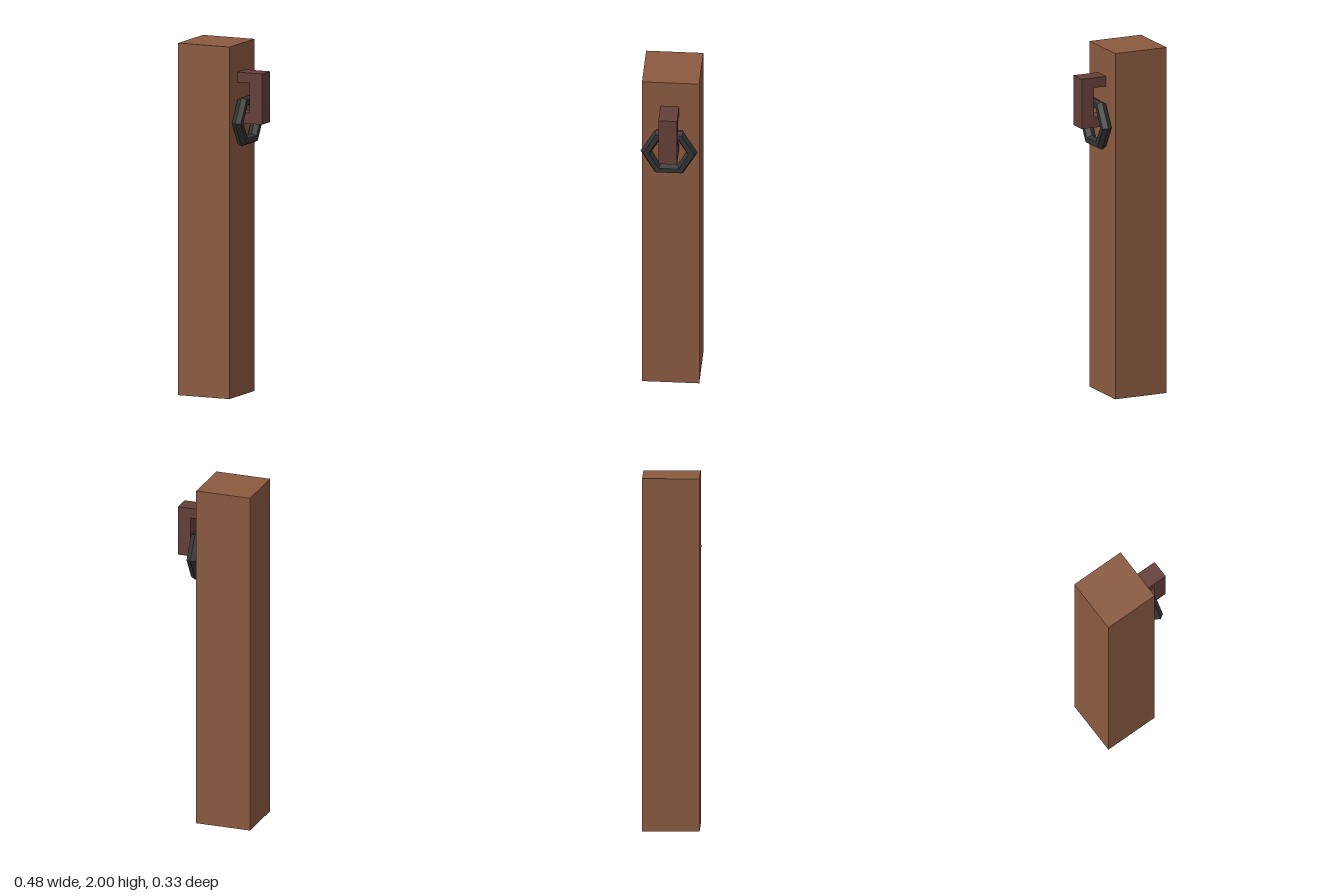
import * as THREE from 'three';

const postWood = new THREE.MeshStandardMaterial({ color: 0x8b5a40 });
postWood.name = 'post wood';
const darkWood = new THREE.MeshStandardMaterial({ color: 0x653f39 });
darkWood.name = 'bracket wood';
const iron = new THREE.MeshStandardMaterial({ color: 0x333333, flatShading: true });
iron.name = 'dark iron';

function addMesh(group, name, geometry, material, x, y, z) {
  const mesh = new THREE.Mesh(geometry, material);
  mesh.name = name;
  mesh.position.set(x, y, z);
  group.add(mesh);
  return mesh;
}

export function createModel() {
  const model = new THREE.Group();
  model.name = 'hitchingPost';

  // Tall square post
  addMesh(model, 'post', new THREE.BoxGeometry(0.322, 2, 0.322), postWood, -0.077, 1, -0.004);

  // C-shaped bracket on the post's left side, its open side against the post
  const outline = [
    [0.084, 1.555], [0.237, 1.555], [0.237, 1.843], [0.084, 1.843],
    [0.084, 1.785], [0.16, 1.785], [0.16, 1.615], [0.084, 1.615],
  ].map(([x, y]) => new THREE.Vector2(x, y));
  const bracket = new THREE.ExtrudeGeometry(new THREE.Shape(outline), { depth: 0.105, bevelEnabled: false });
  addMesh(model, 'bracket', bracket, darkWood, 0, 0, -0.051);

  // Six-sided ring hanging around the bracket's lower arm
  const ring = addMesh(model, 'ring', new THREE.TorusGeometry(0.128, 0.032, 6, 6), iron, 0.123, 1.567, 0.002);
  ring.rotation.y = Math.PI / 2;

  return model;
}
